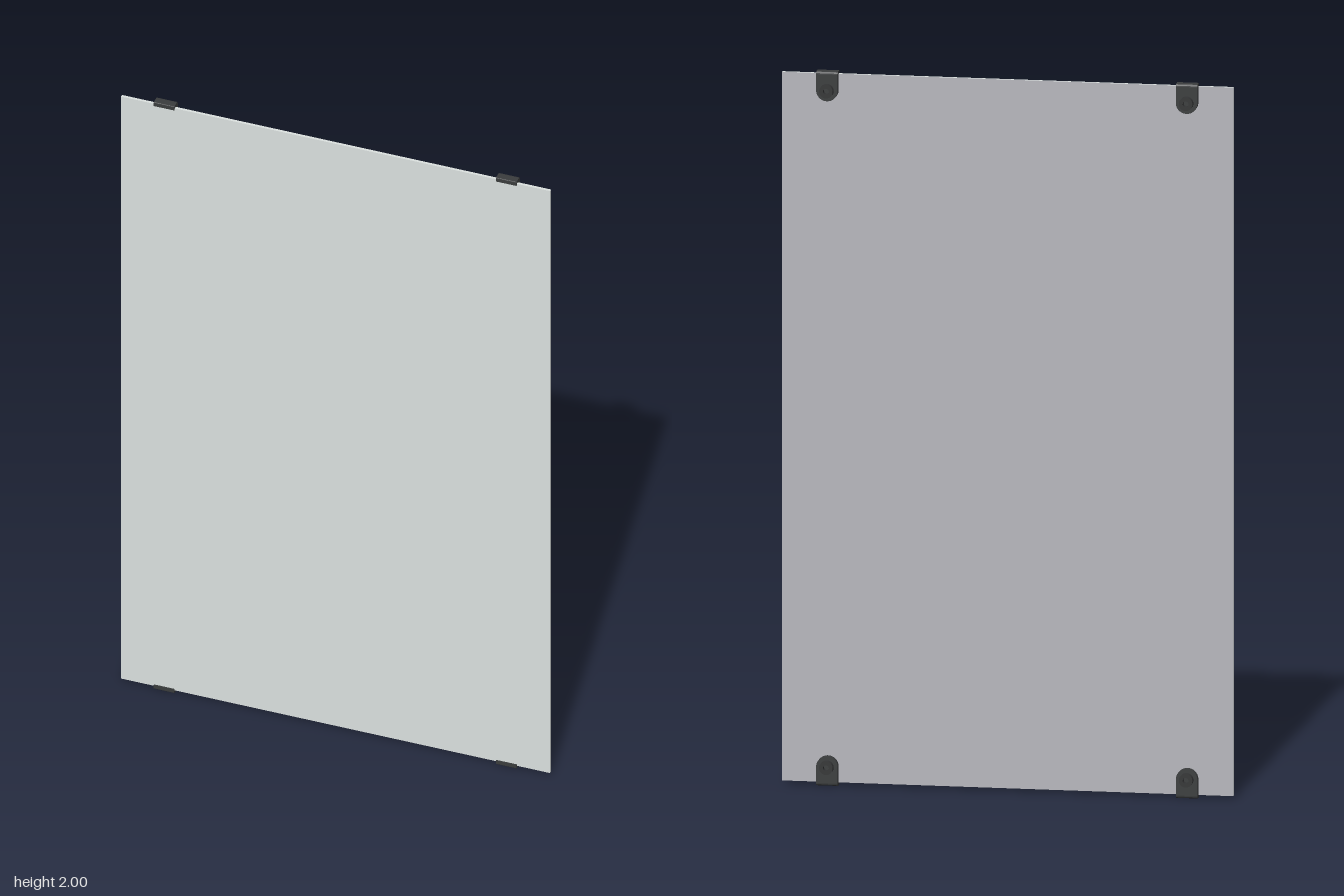
import * as THREE from 'three';

export function createModel() {
  const model = new THREE.Group();
  const mat = (name, color) => new THREE.MeshStandardMaterial({ name, color });
  const silver = mat('mirror silver', 0xdce2e0);
  const backing = mat('backing grey', 0xb7b7bd);
  const black = mat('clip black', 0x3a3c3d);
  const rubber = mat('spacer black', 0x333435);

  const add = (parent, name, geometry, material) => {
    const mesh = new THREE.Mesh(geometry, material);
    mesh.name = name;
    parent.add(mesh);
    return mesh;
  };

  // Thin mirror sheet: the sixth box face (-z) carries the painted backing
  const sheet = add(model, 'mirrorPanel', new THREE.BoxGeometry(1.254, 1.984, 0.008),
    [silver, silver, silver, silver, silver, backing]);
  sheet.position.set(0, 1, 0.0145);

  // One clip, its origin on the outer edge of the mirror, hanging down
  function makeClip(name, x, y, turn) {
    const clip = new THREE.Group();
    clip.name = name;

    // Back plate with a round end
    const tongue = new THREE.Shape();
    tongue.moveTo(0.03, -0.008);
    tongue.lineTo(-0.03, -0.008);
    tongue.lineTo(-0.03, -0.053);
    tongue.absarc(0, -0.053, 0.03, Math.PI, Math.PI * 2, false);
    tongue.closePath();
    const plate = new THREE.ExtrudeGeometry(tongue, { depth: 0.016, bevelEnabled: false, curveSegments: 16 });
    add(clip, 'clipPlate', plate, black).position.z = -0.006;

    // Hook over the edge, drawn as (z, y) and extruded across x
    const hook = new THREE.Shape();
    hook.moveTo(-0.006, -0.008);
    hook.quadraticCurveTo(-0.006, 0, 0.002, 0);
    hook.lineTo(0.019, 0);
    hook.quadraticCurveTo(0.022, 0, 0.022, -0.003);
    hook.lineTo(0.022, -0.013);
    hook.lineTo(0.0187, -0.013);
    hook.lineTo(0.0187, -0.008);
    hook.closePath();
    const lip = new THREE.ExtrudeGeometry(hook, { depth: 0.06, bevelEnabled: false, curveSegments: 5 });
    lip.translate(0, 0, -0.03).rotateY(-Math.PI / 2);
    add(clip, 'clipHook', lip, black);

    // Round wall spacer with a screw hole
    const ring = new THREE.Shape().absarc(0, 0, 0.019, 0, Math.PI * 2, false);
    ring.holes.push(new THREE.Path().absarc(0, 0, 0.008, 0, Math.PI * 2, true));
    const spacer = new THREE.ExtrudeGeometry(ring, { depth: 0.016, bevelEnabled: false, curveSegments: 20 });
    add(clip, 'wallSpacer', spacer, rubber).position.set(0, -0.053, -0.022);

    clip.position.set(x, y, 0);
    clip.rotation.z = turn;
    model.add(clip);
  }

  for (const [side, x] of [['left', 0.5], ['right', -0.5]]) {
    makeClip(side + 'TopClip', x, 2, 0);
    makeClip(side + 'BottomClip', x, 0, Math.PI);
  }
  return model;
}
